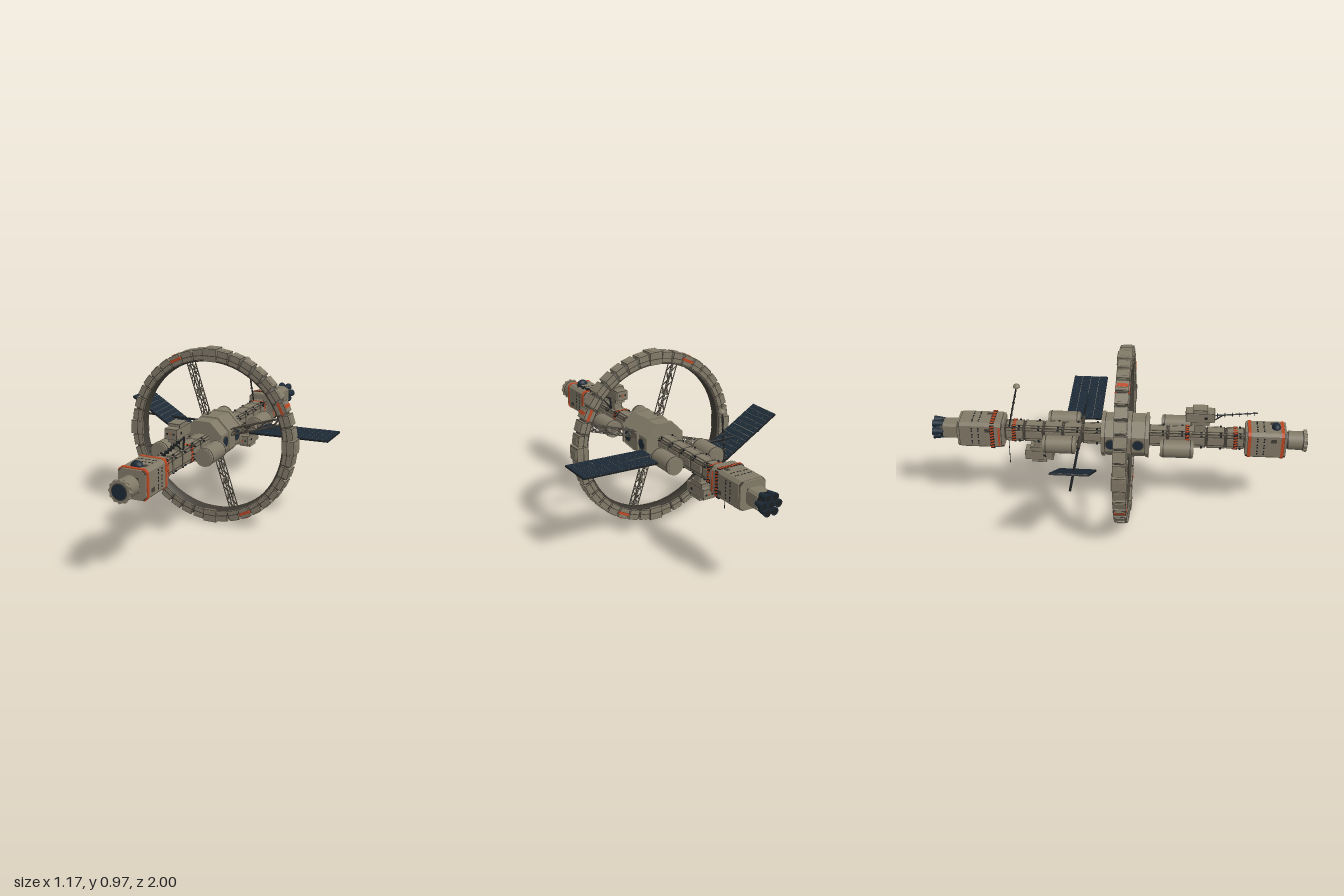
import * as THREE from 'three';

const flat = (name, color) => {
  const m = new THREE.MeshStandardMaterial({ color });
  m.name = name;
  return m;
};

export function createModel() {
  const hull = flat('hull tan', 0x827a68);
  const seam = flat('seam grey', 0x423e36);
  const black = flat('black metal', 0x1b1e20);
  const navy = flat('dark blue glass', 0x1d2a36);
  const orange = flat('orange paint', 0xbd4722);

  const root = new THREE.Group();
  root.name = 'spaceStation';
  const station = new THREE.Group();
  station.name = 'station';
  station.position.set(-0.016, 0.485, 0);
  root.add(station);

  const group = (parent, name, x = 0, y = 0, z = 0) => {
    const g = new THREE.Group();
    g.name = name;
    g.position.set(x, y, z);
    parent.add(g);
    return g;
  };
  const add = (parent, name, geo, mat, x = 0, y = 0, z = 0) => {
    const m = new THREE.Mesh(geo, mat);
    m.name = name;
    m.position.set(x, y, z);
    parent.add(m);
    return m;
  };
  const box = (p, name, mat, w, h, d, x, y, z) => add(p, name, new THREE.BoxGeometry(w, h, d), mat, x, y, z);
  // cylinder along z; r1 is the radius at the front end
  const cylZ = (p, name, mat, r1, r2, len, x, y, z, n = 20) =>
    add(p, name, new THREE.CylinderGeometry(r1, r2, len, n).rotateX(Math.PI / 2), mat, x, y, z);
  const beam = (p, name, mat, a, b, r, n = 5) => {
    const A = new THREE.Vector3(...a), B = new THREE.Vector3(...b), d = B.clone().sub(A);
    const m = add(p, name, new THREE.CylinderGeometry(r, r, d.length(), n), mat);
    m.position.copy(A).add(B).multiplyScalar(0.5);
    m.quaternion.setFromUnitVectors(new THREE.Vector3(0, 1, 0), d.normalize());
    return m;
  };
  // box with dark edges and raised plates on every face
  const plated = (p, name, w, h, d, x, y, z, t = 0.008) => {
    const g = group(p, name, x, y, z), e = 0.003;
    box(g, 'edges', seam, w - e, h - e, d - e);
    box(g, 'sidePlates', hull, w, h - t, d - t);
    box(g, 'topPlates', hull, w - t, h, d - t);
    box(g, 'endPlates', hull, w - t, h - t, d);
    return g;
  };
  // chamfered square prism between two z positions
  const prism = (p, name, mat, half, c, z0, z1) => {
    const s = new THREE.Shape(), k = half - c;
    [[half, -k], [half, k], [k, half], [-k, half], [-half, k], [-half, -k], [-k, -half], [k, -half]]
      .forEach(([x, y], i) => (i ? s.lineTo(x, y) : s.moveTo(x, y)));
    return add(p, name, new THREE.ExtrudeGeometry(s, { depth: z1 - z0, bevelEnabled: false }), mat, 0, 0, z0);
  };
  // slanted warning stripes on four sides
  const hazard = (p, z, half, n) => {
    for (let s = 0; s < 4; s++) {
      const g = group(p, 'warningStripe', 0, 0, z);
      g.rotation.z = s * Math.PI / 2;
      const w = half * 1.8;
      box(g, 'stripeBase', black, w, 0.004, 0.022, 0, half, 0);
      for (let i = 0; i < n; i++) {
        box(g, 'stripeMark', orange, w / n * 0.55, 0.004, 0.021, (i + 0.5) * w / n - w / 2, half + 0.001, 0).rotation.y = 0.4;
      }
    }
  };

  // rotating habitat ring of forty modules
  const ring = group(station, 'habitatRing', 0, 0, 0.033);
  const rim = [[0.408, -0.026], [0.46, -0.026], [0.46, 0.026], [0.408, 0.026], [0.408, -0.026]].map(p => new THREE.Vector2(...p));
  add(ring, 'innerRim', new THREE.LatheGeometry(rim, 80).rotateX(Math.PI / 2), seam);
  for (let i = 0; i < 40; i++) {
    const arm = group(ring, 'ringModuleArm'), big = i % 10 === 0;
    arm.rotation.z = -i * Math.PI / 20;
    const w = big ? 0.078 : 0.061, d = big ? 0.08 : 0.07, h = big ? 0.071 : 0.058;
    plated(arm, 'ringModule', w, h, d, 0, 0.445, 0);
    box(arm, 'moduleSeam', seam, w + 0.002, 0.004, d + 0.002, 0, 0.441, 0);
    box(arm, 'roofPlate', hull, w * 0.55, 0.006, d * 0.6, 0, 0.445 + h / 2, 0);
    if ([3, 7].includes(i % 10) && [7, 17, 27, 37].includes(i)) {
      box(arm, 'orangeBand', orange, w + 0.004, 0.014, d + 0.004, 0, 0.447, 0);
      box(arm, 'orangeRoof', orange, w * 0.3, 0.007, d * 0.8, 0, 0.445 + h / 2, 0);
    }
  }

  // lattice spokes
  for (let i = 0; i < 4; i++) {
    const spoke = group(ring, 'spoke'), r = 0.016;
    spoke.rotation.z = Math.PI / 10 - i * Math.PI / 2;
    for (const x of [-r, r]) for (const z of [-r, r]) beam(spoke, 'spokeRail', seam, [x, 0.1, z], [x, 0.41, z], 0.003);
    for (let k = 0; k < 7; k++) {
      const y0 = 0.11 + k * 0.042, s = k % 2 ? r : -r;
      for (const f of [-r, r]) {
        beam(spoke, 'spokeBrace', seam, [-s, y0, f], [s, y0 + 0.042, f], 0.0025);
        beam(spoke, 'spokeBrace', seam, [f, y0, -s], [f, y0 + 0.042, s], 0.0025);
      }
    }
    plated(spoke, 'spokeBox', 0.024, 0.026, 0.03, 0, 0.25, 0, 0.005);
  }

  // octagonal hub
  const hub = group(station, 'hub');
  prism(hub, 'hubCore', seam, 0.104, 0.061, -0.085, 0.16);
  for (const [a, b, h] of [[-0.088, -0.07, 0.113], [-0.066, -0.004, 0.108], [0, 0.07, 0.116], [0.074, 0.142, 0.108], [0.146, 0.163, 0.113]])
    prism(hub, 'hubSection', hull, h, h * 0.586, a, b);
  for (const s of [-1, 1]) for (const z of [-0.035, 0.108]) {
    add(hub, 'portFrame', new THREE.CylinderGeometry(0.031, 0.031, 0.01, 20).rotateZ(Math.PI / 2), seam, s * 0.107, 0, z);
    add(hub, 'portGlass', new THREE.CylinderGeometry(0.026, 0.026, 0.012, 20).rotateZ(Math.PI / 2), navy, s * 0.108, 0, z);
  }

  // central spine
  const spine = group(station, 'spine');
  box(spine, 'spineCore', seam, 0.074, 0.074, 1.78, 0, 0, 0.0);
  const spans = [[0.16, 0.67, 5], [-0.61, -0.088, 5]];
  for (const [a, b, n] of spans) for (let i = 0; i < n; i++) {
    const L = (b - a) / n, z = a + (i + 0.5) * L;
    plated(spine, 'spineSegment', 0.086, 0.086, L - 0.005, 0, 0, z, 0.012);
    for (let s = 0; s < 4; s++) {
      const side = group(spine, 'spineSide', 0, 0, z);
      side.rotation.z = s * Math.PI / 2;
      box(side, 'raisedPanel', hull, 0.04, 0.008, L * 0.8, 0, 0.043, 0);
      for (const x of [-1, 1]) {
        box(side, 'panelLine', seam, 0.004, 0.005, L, x * 0.024, 0.042, 0);
        box(side, 'clamp', black, 0.006, 0.012, 0.01, x * 0.034, 0.045, L * 0.25);
      }
    }
  }
  hazard(spine, 0.62, 0.045, 5);
  hazard(spine, -0.56, 0.045, 5);
  hazard(spine, 0.365, 0.045, 4);

  // four storage tanks on struts
  for (const sx of [-1, 1]) for (const z of [-0.305, 0.312]) {
    const tank = group(station, 'storageTank', sx * 0.126, 0, z);
    cylZ(tank, 'tankBody', hull, 0.047, 0.047, 0.166, 0, 0, 0, 28);
    for (const e of [-1, 1]) {
      cylZ(tank, 'tankBand', seam, 0.0485, 0.0485, 0.005, 0, 0, e * 0.07, 28);
      cylZ(tank, 'tankCap', hull, 0.04, 0.04, 0.008, 0, 0, e * 0.083, 28);
      beam(tank, 'tankStrut', seam, [-sx * 0.04, 0, e * 0.045], [-sx * 0.09, 0, e * 0.045], 0.005);
    }
  }

  // front and rear end modules
  const endModule = (name, z0, z1) => {
    const g = group(station, name);
    prism(g, 'moduleCore', seam, 0.072, 0.014, z0 + 0.002, z1 - 0.002);
    prism(g, 'moduleHull', hull, 0.075, 0.015, z0 + 0.014, z1 - 0.014);
    for (const z of [z0, z1 - 0.01]) prism(g, 'endFrame', hull, 0.073, 0.02, z, z + 0.01);
    for (let s = 0; s < 4; s++) {
      const side = group(g, 'moduleSide', 0, 0, (z0 + z1) / 2);
      side.rotation.z = s * Math.PI / 2;
      for (const zz of [-0.01, -0.045]) for (const x of [-0.045, -0.03, -0.008, 0.008, 0.03, 0.045])
        box(side, 'window', black, 0.009, 0.004, 0.007, x, 0.0745, zz);
      box(side, 'hatch', seam, 0.02, 0.005, 0.03, 0.035, 0.0745, 0.04);
    }
    return g;
  };
  const front = endModule('frontModule', 0.672, 0.885);
  for (const z of [0.684, 0.857]) prism(front, 'orangeBand', orange, 0.0775, 0.016, z, z + 0.016);
  add(front, 'cupola', new THREE.SphereGeometry(0.032, 20, 8, 0, Math.PI * 2, 0, Math.PI / 2).scale(1, 0.8, 0.75), navy, 0, 0.075, 0.832);
  cylZ(front, 'dockNeck', seam, 0.044, 0.044, 0.03, 0, 0, 0.89);
  cylZ(front, 'dockBody', hull, 0.05, 0.05, 0.095, 0, 0, 0.946, 24);
  cylZ(front, 'dockRim', hull, 0.054, 0.054, 0.016, 0, 0, 0.988, 24);
  cylZ(front, 'dockGroove', seam, 0.0515, 0.0515, 0.006, 0, 0, 0.975, 24);
  for (let i = 0; i < 12; i++) {
    const a = i * Math.PI / 6;
    cylZ(front, 'dockLatch', hull, 0.009, 0.009, 0.018, Math.cos(a) * 0.05, Math.sin(a) * 0.05, 0.987, 8);
  }
  cylZ(front, 'dockSeal', seam, 0.042, 0.042, 0.004, 0, 0, 0.996, 24);
  cylZ(front, 'dockGlass', navy, 0.037, 0.037, 0.004, 0, 0, 0.998, 24);

  const rear = endModule('rearModule', -0.86, -0.612);
  hazard(rear, -0.672, 0.076, 8);
  for (const s of [-1, 1]) box(rear, 'orangeStripe', orange, 0.004, 0.11, 0.01, s * 0.0755, 0, -0.635);
  prism(rear, 'engineNeck', hull, 0.044, 0.012, -0.945, -0.872);

  // engine cluster
  const engines = group(rear, 'engines');
  cylZ(engines, 'thrustPlate', black, 0.044, 0.05, 0.02, 0, 0, -0.95, 12);
  for (let i = 0; i < 7; i++) {
    const r = i ? 0.042 : 0, a = i * Math.PI / 3;
    const x = Math.cos(a) * r, y = Math.sin(a) * r;
    cylZ(engines, 'nozzle', navy, 0.013, 0.021, 0.056, x, y, -0.972, 14);
    cylZ(engines, 'nozzleMouth', black, 0.016, 0.016, 0.002, x, y, -1.0, 14);
  }

  // docking pods above and below the spine
  for (const s of [1, -1]) {
    const pod = group(station, s > 0 ? 'upperPod' : 'lowerPod', 0, 0, s * 0.43);
    plated(pod, 'podStem', 0.05, 0.06, 0.06, 0, s * 0.065, 0);
    plated(pod, 'podBase', 0.062, 0.04, 0.1, 0, s * 0.105, 0);
    plated(pod, 'podBody', 0.07, 0.056, 0.154, 0, s * 0.136, 0);
    plated(pod, 'podCap', 0.066, 0.024, 0.08, 0, s * 0.17, 0);
    for (const e of [-1, 1]) {
      for (const x of [-0.018, 0, 0.018]) box(pod, 'podWindow', x ? black : orange, 0.009, 0.009, 0.004, x, s * 0.138, e * 0.077);
      box(pod, 'podSideWindow', black, 0.004, 0.012, 0.016, e * 0.035, s * 0.136, 0.03);
    }
  }

  // solar wings and their boom
  const wings = group(station, 'solarWings', 0, 0, -0.203);
  beam(wings, 'wingBoom', black, [-0.535, 0, 0], [0.56, 0, 0], 0.0065, 8);
  for (const s of [-1, 1]) {
    beam(wings, 'boomSleeve', seam, [s * 0.04, 0, 0], [s * 0.16, 0, 0], 0.01, 8);
    const wing = group(wings, 'solarPanel', s < 0 ? -0.379 : 0.374, 0, 0);
    wing.rotation.z = s < 0 ? -0.547 : 0.025;
    const W = 0.45, D = 0.194, nx = 14, nz = 4;
    box(wing, 'panelBack', black, W, 0.008, D);
    box(wing, 'panelGrid', hull, W - 0.008, 0.002, D - 0.008, 0, 0.0045, 0);
    for (let i = 0; i < nx; i++) for (let k = 0; k < nz; k++)
      box(wing, 'solarCell', navy, W / nx - 0.0022, 0.002, D / nz - 0.0022, (i + 0.5) * W / nx - W / 2, 0.0058, (k + 0.5) * D / nz - D / 2);
  }

  // rear dish mast
  const mast = group(station, 'dishMast');
  beam(mast, 'mastPole', black, [-0.034, 0.04, -0.585], [-0.05, 0.3, -0.528], 0.004, 6);
  for (let i = 0; i < 5; i++) {
    const t = 0.15 + i * 0.15;
    add(mast, 'mastJoint', new THREE.CylinderGeometry(0.007, 0.007, 0.008, 8), seam, -0.034 - 0.016 * t, 0.04 + 0.26 * t, -0.585 + 0.057 * t);
  }
  add(mast, 'dish', new THREE.SphereGeometry(0.019, 16, 6, 0, Math.PI * 2, 0, Math.PI / 2), hull, -0.05, 0.295, -0.528);
  add(mast, 'dishBase', new THREE.CylinderGeometry(0.019, 0.012, 0.006, 16), hull, -0.05, 0.293, -0.528);
  beam(mast, 'whipAntenna', black, [-0.036, -0.04, -0.59], [-0.036, -0.19, -0.59], 0.0018);

  // forward sensor boom
  const boom = group(station, 'sensorBoom');
  beam(boom, 'boomArm', black, [0.036, 0.105, 0.43], [0.082, 0.11, 0.735], 0.004, 6);
  beam(boom, 'boomBrace', black, [0.02, 0.04, 0.43], [0.055, 0.105, 0.55], 0.004, 6);
  beam(boom, 'boomPost', black, [0.03, 0.04, 0.43], [0.036, 0.108, 0.43], 0.005, 6);
  for (let i = 0; i < 6; i++) {
    const t = 0.3 + i * 0.13;
    box(boom, 'boomElement', black, 0.022, 0.014, 0.003, 0.036 + 0.046 * t, 0.106, 0.43 + 0.305 * t);
  }
  return root;
}
